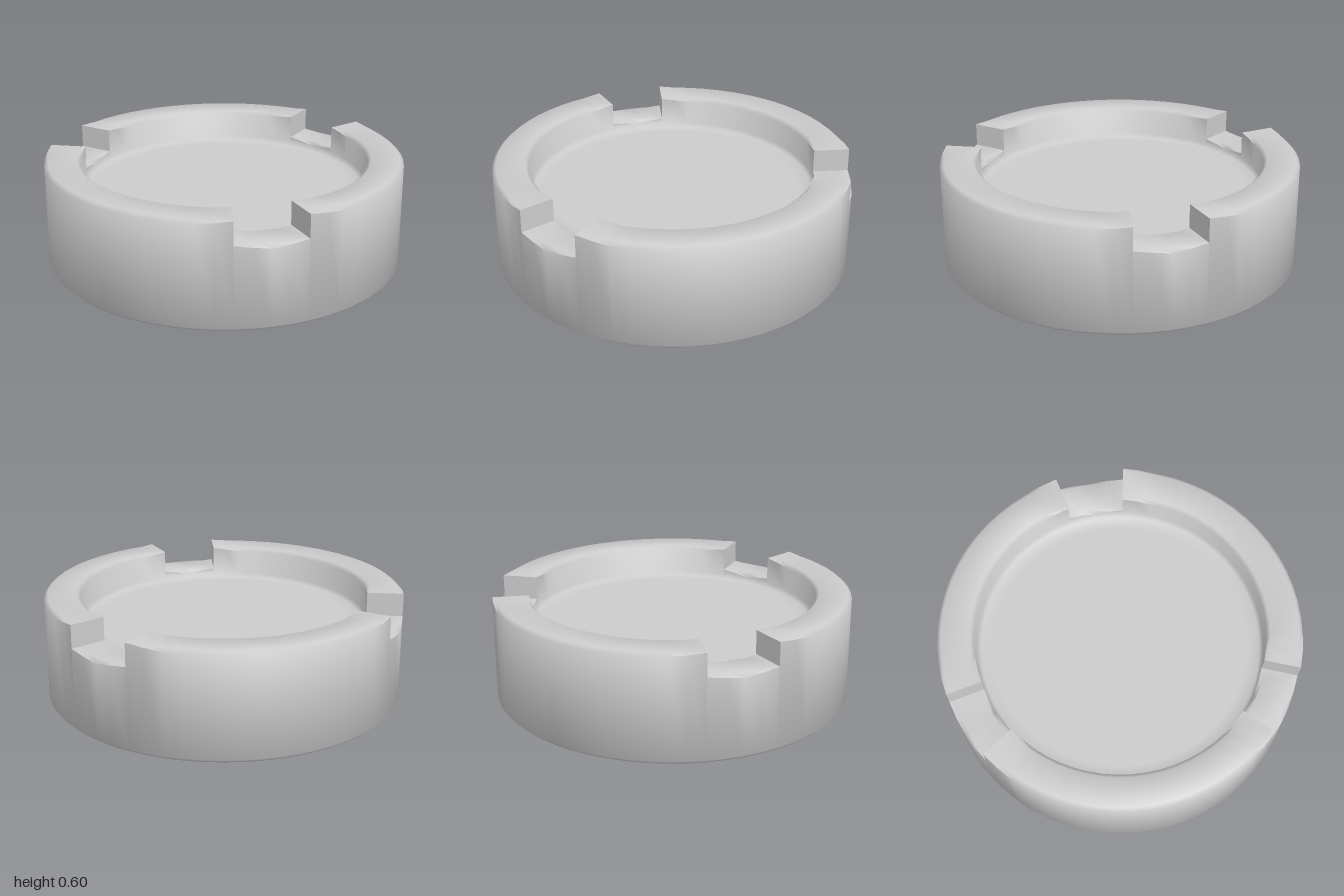
import * as THREE from 'three';
import { toCreasedNormals } from 'three/addons/utils/BufferGeometryUtils.js';

const OUTER = 1, INNER = 0.8, BEVEL = 0.02;
const RIM_Y = 0.6, NOTCH_Y = 0.47, FLOOR_Y = 0.42;
const STEP = Math.PI / 32;                 // 64 sides
const NOTCH_STEPS = 4;                     // each notch spans four sides
const NOTCH_STARTS = [6, 28, 48];          // in steps, from +x towards +z

const point = (r, y, step) => [r * Math.cos(step * STEP), y, r * Math.sin(step * STEP)];

// Half cross-section from the underside centre, over the wall, to the bowl centre.
// The edge drop is the bevel height on both sides of the wall top.
const section = (top, drop) => [
  [0, 0], [0.93, 0], [OUTER - BEVEL, 0], [OUTER, BEVEL],
  [OUTER, top - drop], [OUTER - BEVEL, top], [INNER + BEVEL, top], [INNER, top - drop],
  [INNER, FLOOR_Y + BEVEL], [INNER - BEVEL, FLOOR_Y], [0.71, FLOOR_Y], [0, FLOOR_Y],
];

// Sweep the section through one sector; the bevel fades out at its two ends.
function sweep(out, start, count, top, depth) {
  const ring = i => section(top, depth * Math.min(1, Math.min(i, count - i) / 2))
    .map(([r, y]) => ({ r, p: point(r, y, start + i) }));
  for (let i = 0; i < count; i++) {
    const a = ring(i), b = ring(i + 1);
    for (let j = 0; j < a.length - 1; j++) {
      if (a[j + 1].r > 0) out.push(...a[j].p, ...a[j + 1].p, ...b[j + 1].p);
      if (a[j].r > 0) out.push(...a[j].p, ...b[j + 1].p, ...b[j].p);
    }
  }
}

// Upright cheek closing a notch at one end.
function cheek(out, step, flip) {
  const c = [[INNER, NOTCH_Y], [OUTER, NOTCH_Y], [OUTER, RIM_Y], [INNER, RIM_Y]]
    .map(([r, y]) => point(r, y, step));
  if (flip) c.reverse();
  out.push(...c[0], ...c[1], ...c[2], ...c[0], ...c[2], ...c[3]);
}

export function createModel() {
  const positions = [];
  NOTCH_STARTS.forEach((start, k) => {
    const end = start + NOTCH_STEPS;
    const next = NOTCH_STARTS[(k + 1) % NOTCH_STARTS.length] + (k === NOTCH_STARTS.length - 1 ? 64 : 0);
    sweep(positions, start, NOTCH_STEPS, NOTCH_Y, 0.025);
    sweep(positions, end, next - end, RIM_Y, 0.018);
    cheek(positions, start, false);
    cheek(positions, end, true);
  });

  const geometry = new THREE.BufferGeometry();
  geometry.setAttribute('position', new THREE.Float32BufferAttribute(positions, 3));
  const dish = new THREE.Mesh(
    toCreasedNormals(geometry, 0.9),
    new THREE.MeshStandardMaterial({ color: 0xcccccc }),
  );
  dish.name = 'notchedDish';

  const group = new THREE.Group();
  group.name = 'ashtray';
  group.add(dish);
  return group;
}
